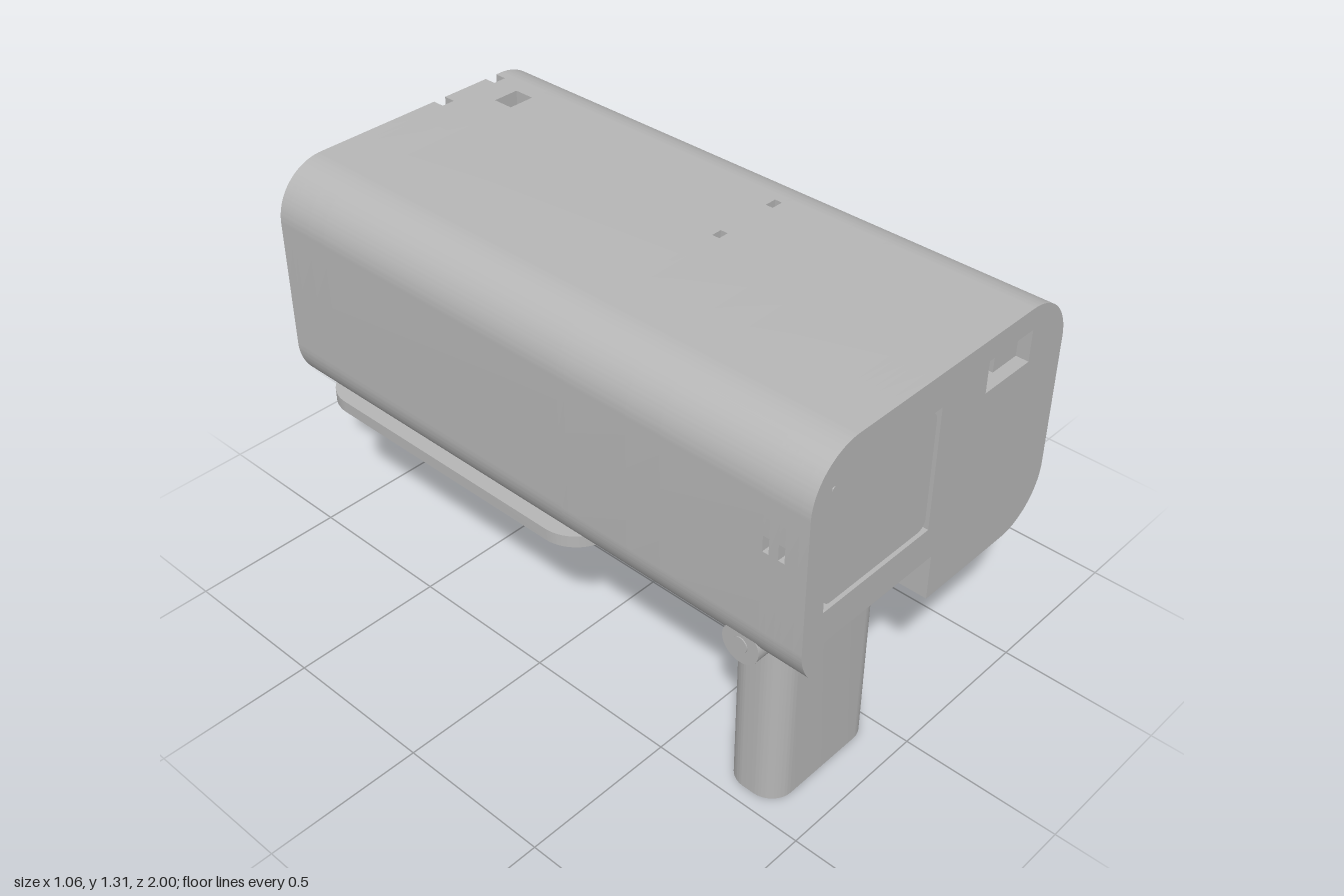
import * as THREE from 'three';
import { toCreasedNormals } from 'three/addons/utils/BufferGeometryUtils.js';

const gray = new THREE.MeshStandardMaterial({ color: 0xb6b6b6 });
const HALF = 0.53, BOTTOM = 0.545, TOP = 1.31, R = 0.17;
const LENS = { x: -0.24, y: 1.0 };

function add(parent, name, geometry, x = 0, y = 0, z = 0) {
  const mesh = new THREE.Mesh(geometry, gray);
  mesh.name = name;
  mesh.position.set(x, y, z);
  parent.add(mesh);
  return mesh;
}

function extrude(shape, depth) {
  const g = new THREE.ExtrudeGeometry(shape, { depth, bevelEnabled: false, curveSegments: 20 });
  return toCreasedNormals(g, 0.5);
}

// Rounded rectangle outline, usable as a shape or as a hole
function roundRect(x0, y0, x1, y1, r, Type = THREE.Shape) {
  const p = new Type();
  p.absarc(x1 - r, y0 + r, r, -Math.PI / 2, 0);
  p.absarc(x1 - r, y1 - r, r, 0, Math.PI / 2);
  p.absarc(x0 + r, y1 - r, r, Math.PI / 2, Math.PI);
  p.absarc(x0 + r, y0 + r, r, Math.PI, Math.PI * 1.5);
  p.closePath();
  return p;
}

function rect(x0, y0, x1, y1) {
  return new THREE.Path([[x0, y0], [x1, y0], [x1, y1], [x0, y1], [x0, y0]].map(([x, y]) => new THREE.Vector2(x, y)));
}

function circle(x, y, r) {
  return new THREE.Path().absarc(x, y, r, 0, Math.PI * 2);
}

// Round lens seat with a small key at the top and a latch slot at the bottom
function lensSeat() {
  const r = 0.265, low = Math.asin(0.07 / r), high = Math.asin(0.035 / r), q = Math.PI / 2;
  const p = new THREE.Path();
  p.absarc(LENS.x, LENS.y, r, -q + low, q - high);
  p.lineTo(LENS.x + 0.035, 1.285);
  p.lineTo(LENS.x - 0.035, 1.285);
  p.absarc(LENS.x, LENS.y, r, q + high, 3 * q - low);
  p.lineTo(LENS.x - 0.07, 0.61);
  p.lineTo(LENS.x + 0.07, 0.61);
  p.closePath();
  return p;
}

// Cross-section of the case, with optional cuts in its outline
function caseSection({ top = [], side = false, bay = false, pocket = false, holes = [] }) {
  const s = new THREE.Shape(), c = HALF - R;
  s.absarc(c, BOTTOM + R, R, -Math.PI / 2, 0);
  s.absarc(c, TOP - R, R, 0, Math.PI / 2);
  for (const [x0, x1, y] of top) {
    // Upper outline height, following the rounded shoulder
    s.lineTo(x1, TOP);
    s.lineTo(x1, y);
    s.lineTo(x0, y);
    s.lineTo(x0, TOP);
  }
  s.absarc(-c, TOP - R, R, Math.PI / 2, Math.PI);
  if (side) {
    s.lineTo(-HALF, 1.02);
    s.lineTo(-HALF + 0.04, 1.02);
    s.lineTo(-HALF + 0.04, 0.97);
    s.lineTo(-HALF, 0.97);
  }
  if (bay) {
    s.absarc(-c, BOTTOM + R, R, Math.PI, Math.PI + Math.acos(0.1 / R));
    s.lineTo(-0.46, 0.695);
    if (pocket) {
      s.lineTo(-0.3, 0.695);
      s.lineTo(-0.3, 0.76);
      s.lineTo(-0.14, 0.76);
      s.lineTo(-0.14, 0.695);
    }
    s.lineTo(0.01, 0.695);
    s.lineTo(0.01, BOTTOM);
  } else {
    s.absarc(-c, BOTTOM + R, R, Math.PI, Math.PI * 1.5);
  }
  s.closePath();
  s.holes = holes;
  return s;
}

export function createModel() {
  const model = new THREE.Group();
  model.name = 'projector';

  // Case, stacked from back to front as slices with their own cuts
  const latch = rect(LENS.x - 0.07, 0.61, LENS.x + 0.07, 0.735);
  const port = rect(0.175, 1.14, 0.37, 1.24);
  const windowHole = rect(-0.455, 0.805, -0.02, 1.2);
  const slots = [[0.295, 0.34, 1.15], [0.08, 0.125, 1.15]];
  const pinHoles = [[0.295, 0.335, 1.26], [0.07, 0.105, 1.26]];
  const slices = [
    [-1, -0.96, { top: slots, holes: [lensSeat()] }],
    [-0.96, -0.94, { holes: [circle(LENS.x, LENS.y, 0.195), latch] }],
    [-0.94, -0.87, { holes: [latch] }],
    [-0.87, -0.8, { top: [[0.215, 0.305, 1.25]] }],
    [-0.8, 0.155, {}],
    [0.155, 0.18, { top: pinHoles, bay: true }],
    [0.18, 0.4, { bay: true }],
    [0.4, 0.52, { bay: true, pocket: true }],
    [0.52, 0.86, { bay: true }],
    [0.86, 0.88, { bay: true, side: true }],
    [0.88, 0.91, { bay: true }],
    [0.91, 0.93, { bay: true, side: true, holes: [port] }],
    [0.93, 0.97, { bay: true, holes: [port] }],
    [0.97, 1, { bay: true, holes: [port, windowHole] }],
  ];
  const body = new THREE.Group();
  body.name = 'case';
  model.add(body);
  for (const [z0, z1, cuts] of slices) add(body, 'caseSlice', extrude(caseSection(cuts), z1 - z0), 0, 0, z0);

  // Front window panel, block inside the port, latch at the back
  add(model, 'windowPanel', extrude(roundRect(-0.447, 0.812, -0.027, 1.193, 0.03), 0.03), 0, 0, 0.962);
  add(model, 'portBlock', new THREE.BoxGeometry(0.105, 0.07, 0.05), 0.3175, 1.175, 0.935);
  add(model, 'latchPost', new THREE.BoxGeometry(0.05, 0.07, 0.08), LENS.x - 0.02, 0.69, -0.93);

  // Base plate with a display opening, screw holes and a button
  const plate = roundRect(-0.49, -0.17, 0.49, 0.98, 0.13);
  plate.holes.push(rect(-0.29, 0.2, 0.29, 0.75), circle(0.05, 0.02, 0.035), circle(-0.09, 0.02, 0.1));
  for (const x of [-0.37, 0.37]) for (const y of [-0.08, 0.87]) plate.holes.push(circle(x, y, 0.026));
  add(model, 'basePlate', extrude(plate, BOTTOM - 0.505).rotateX(-Math.PI / 2), 0, 0.505, 0);
  add(model, 'button', new THREE.CylinderGeometry(0.096, 0.096, 0.039, 32), -0.09, 0.5255, -0.02);

  // Hollow folding leg, closed at the top
  const leg = roundRect(-0.45, -0.88, -0.022, -0.692, 0.075);
  leg.holes.push(roundRect(-0.415, -0.845, -0.057, -0.727, 0.055, THREE.Path));
  add(model, 'leg', extrude(leg, 0.66).rotateX(-Math.PI / 2));
  const cap = roundRect(-0.45, -0.88, -0.022, -0.692, 0.075);
  add(model, 'legCap', extrude(cap, 0.035).rotateX(-Math.PI / 2), 0, 0.66, 0);

  // Hinge lugs and pins on both sides of the leg
  for (const [name, r, x0, x1] of [
    ['hingeLug', 0.062, -0.51, -0.46], ['hingeLug', 0.062, 0.008, 0.06],
    ['hingePin', 0.02, -0.47, -0.42], ['hingePin', 0.02, -0.05, 0.02],
    ['hingePinHead', 0.025, -0.513, -0.5],
  ]) {
    add(model, name, new THREE.CylinderGeometry(r, r, x1 - x0, 28).rotateZ(Math.PI / 2), (x0 + x1) / 2, 0.598, 0.786);
  }
  return model;
}
